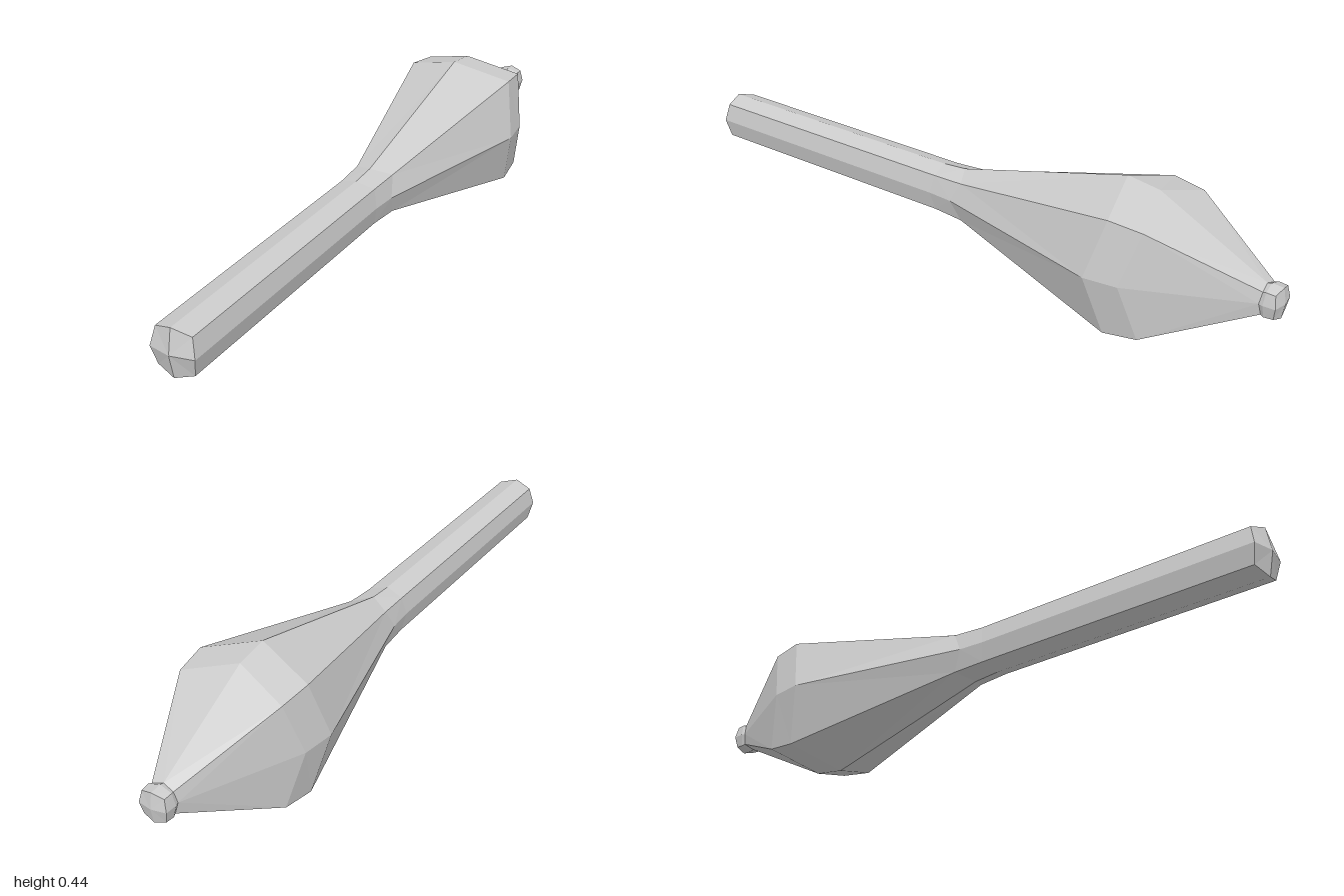
import * as THREE from 'three';

// Eight-sided cross-section: points on the axes, and squarer diagonal corners
const SECTION = [
  [0.935, 0], [0.768, 0.768], [0, 1], [-0.768, 0.768],
  [-0.935, 0], [-0.768, -0.768], [0, -1], [0.768, -0.768],
];
const CENTRE_Y = 0.22;

// Each ring is [z, radius, z of the diagonal corners]; ordered front to back.
// frontTip / backTip close the ends with a shallow point.
function loft(name, rings, frontTip, backTip, material) {
  const points = [];
  for (const [z, r, zDiagonal] of rings) {
    SECTION.forEach(([x, y], i) => points.push(x * r, CENTRE_Y + y * r, i % 2 ? zDiagonal : z));
  }
  const index = [];
  const n = SECTION.length;
  for (let k = 0; k < rings.length - 1; k++) {
    for (let i = 0; i < n; i++) {
      const j = (i + 1) % n;
      const a = k * n + i, b = k * n + j, c = a + n, d = b + n;
      // split every quad towards its diagonal corner so both sides mirror
      if (i % 2) index.push(a, c, d, a, d, b);
      else index.push(a, c, b, b, c, d);
    }
  }
  const cap = (z, start, front) => {
    const tip = points.length / 3;
    points.push(0, CENTRE_Y, z);
    for (let i = 0; i < n; i++) {
      const a = start + i, b = start + (i + 1) % n;
      index.push(tip, front ? a : b, front ? b : a);
    }
  };
  if (frontTip !== null) cap(frontTip, 0, true);
  if (backTip !== null) cap(backTip, (rings.length - 1) * n, false);

  const indexed = new THREE.BufferGeometry();
  indexed.setAttribute('position', new THREE.Float32BufferAttribute(points, 3));
  indexed.setIndex(index);
  const geometry = indexed.toNonIndexed();
  geometry.computeVertexNormals();
  const mesh = new THREE.Mesh(geometry, material);
  mesh.name = name;
  return mesh;
}

export function createModel() {
  const group = new THREE.Group();
  group.name = 'club';
  const material = new THREE.MeshStandardMaterial({ color: 0xcccccc, flatShading: true });

  const neckStart = [0.11, 0.071, 0.10];
  const neckEnd = [0.03, 0.077, 0.0];
  const headEnd = [-0.945, 0.043, -0.95];

  // Straight grip with a slightly pointed end
  group.add(loft('handle', [[0.986, 0.071, 0.974], neckStart], 1.0, null, material));
  // Short flare between grip and head
  group.add(loft('neck', [neckStart, neckEnd], null, null, material));
  // Swelling head with a bevelled shoulder, tapering to the back
  group.add(loft('head', [
    neckEnd, [-0.52, 0.22, -0.567], [-0.62, 0.206, -0.667], headEnd,
  ], null, null, material));
  // Small knob on the tip
  group.add(loft('tipKnob', [
    headEnd, [-0.957, 0.047, -0.96], [-0.992, 0.045, -0.986],
  ], null, -1.0, material));

  return group;
}
